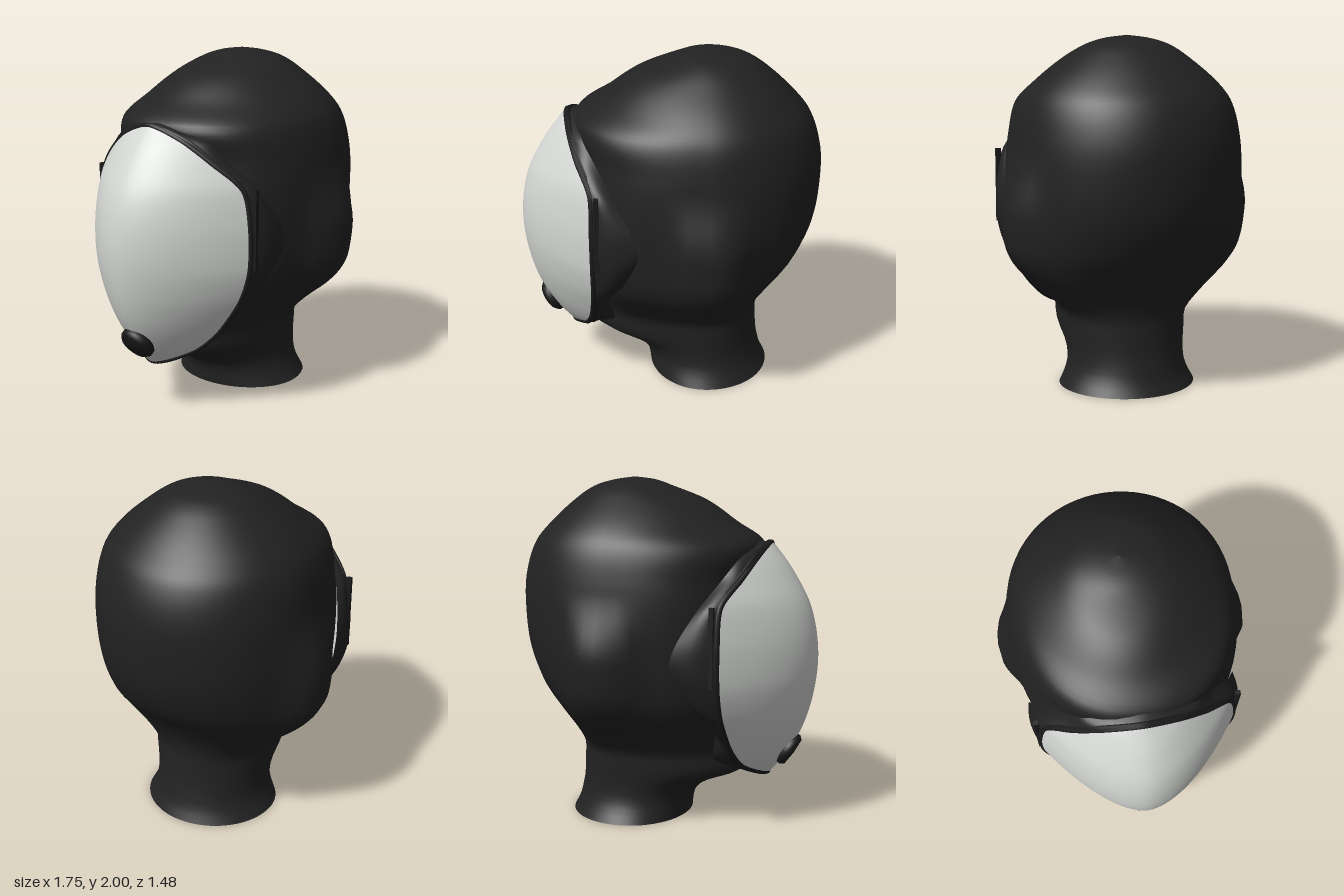
import * as THREE from 'three';
import { mergeVertices } from 'three/addons/utils/BufferGeometryUtils.js';

const V = (x, y, z) => new THREE.Vector3(x, y, z);
const step = (a, b, x) => THREE.MathUtils.smoothstep(x, a, b);

// Smooth surface through rows of points
function loft(rows) {
  const n = rows[0].length, index = [];
  for (let i = 0; i < rows.length - 1; i++) {
    for (let j = 0; j < n - 1; j++) {
      const a = i * n + j, b = a + n;
      index.push(a, b, a + 1, b, b + 1, a + 1);
    }
  }
  let g = new THREE.BufferGeometry().setFromPoints(rows.flat());
  g.setIndex(index);
  g = mergeVertices(g, 1e-4);
  g.computeVertexNormals();
  return g;
}

// Smooth lookup of one column in a table sorted by its first column
function lookup(table, y, c) {
  let i = 0;
  while (i < table.length - 2 && y > table[i + 1][0]) i++;
  const slope = k => {
    const a = table[Math.max(k - 1, 0)], b = table[Math.min(k + 1, table.length - 1)];
    return (b[c] - a[c]) / (b[0] - a[0]);
  };
  const p = table[i], q = table[i + 1], h = q[0] - p[0], t = (y - p[0]) / h;
  const t2 = t * t, t3 = t2 * t;
  return (2 * t3 - 3 * t2 + 1) * p[c] + (t3 - 2 * t2 + t) * h * slope(i)
    + (3 * t2 - 2 * t3) * q[c] + (t3 - t2) * h * slope(i + 1);
}

// Hood sections: height, face x, back x, half width, roundness of the face side
const HEAD = [
  [0, -0.12, 0.60, 0.40, 2], [0.07, -0.13, 0.565, 0.36, 2], [0.13, -0.15, 0.55, 0.34, 2],
  [0.2, -0.22, 0.535, 0.335, 2], [0.25, -0.33, 0.53, 0.337, 2], [0.29, -0.45, 0.527, 0.34, 2],
  [0.35, -0.49, 0.525, 0.345, 2], [0.43, -0.5, 0.525, 0.355, 2], [0.54, -0.5, 0.56, 0.46, 2.1],
  [0.67, -0.5, 0.64, 0.575, 2.3], [0.81, -0.5, 0.75, 0.625, 2.5], [1.02, -0.5, 0.84, 0.65, 2.5],
  [1.26, -0.5, 0.87, 0.655, 2.5], [1.45, -0.5, 0.86, 0.64, 2.4], [1.63, -0.54, 0.8, 0.595, 2.2],
  [1.74, -0.39, 0.71, 0.515, 2], [1.87, -0.2, 0.57, 0.36, 2], [1.95, 0.01, 0.45, 0.235, 2],
  [1.985, 0.11, 0.33, 0.12, 2], [2, 0.22, 0.22, 0, 2],
];
const MID = 0.22;

function headHalfWidth(x, y) {
  const front = x < MID;
  const u = Math.min(1, Math.abs((x - MID) / (lookup(HEAD, y, front ? 1 : 2) - MID)));
  const n = front ? lookup(HEAD, y, 4) : 2;
  return lookup(HEAD, y, 3) * Math.pow(1 - Math.pow(u, n), 1 / n);
}

function hoodGeometry() {
  const rows = [], N = 64;
  for (let i = 0; i <= 80; i++) {
    const y = 2 * Math.sin(i / 80 * Math.PI / 2);
    const row = [];
    for (let j = 0; j <= N; j++) {
      const a = (j % N) / N * Math.PI * 2, c = Math.cos(a), s = Math.sin(a);
      const n = c < 0 ? lookup(HEAD, y, 4) : 2;
      const reach = Math.abs(lookup(HEAD, y, c < 0 ? 1 : 2) - MID);
      const x = MID + Math.sign(c) * reach * Math.pow(Math.abs(c), 2 / n);
      let z = lookup(HEAD, y, 3) * Math.pow(Math.abs(s), 2 / n);
      // Ear bulges under the hood
      z += 0.09 * step(-0.05, 0.16, x) * (1 - step(0.32, 0.52, x))
        * step(0.5, 0.85, y) * (1 - step(1.0, 1.4, y)) * s * s;
      row.push(V(x, y, Math.sign(s) * z));
    }
    rows.push(row.reverse());
  }
  return loft(rows);
}

// Closed loop from a half outline running from top centre to bottom centre
function mirroredLoop(half) {
  const other = half.slice(1, -1).reverse().map(p => V(p.x, p.y, -p.z));
  return new THREE.CatmullRomCurve3([...half, ...other], true, 'catmullrom', 0.4);
}
const RIM = mirroredLoop([
  V(-0.605, 1.635, 0), V(-0.575, 1.57, 0.2), V(-0.52, 1.46, 0.36), V(-0.44, 1.32, 0.51),
  V(-0.435, 1.1, 0.555), V(-0.435, 0.88, 0.55), V(-0.44, 0.7, 0.49), V(-0.465, 0.5, 0.36),
  V(-0.51, 0.37, 0.22), V(-0.61, 0.285, 0),
]);
const SEAL = mirroredLoop([
  [-0.53, 1.645], [-0.48, 1.57], [-0.40, 1.45], [-0.3, 1.3], [-0.2, 1.12],
  [-0.17, 0.98], [-0.26, 0.77], [-0.35, 0.58], [-0.33, 0.4], [-0.45, 0.285],
].map(([x, y], i) => V(x, y, i % 9 ? headHalfWidth(x, y) + 0.012 : 0)));

// Visor centre line: height, x
const VISOR = [[0.285, -0.61], [0.4, -0.70], [0.58, -0.8], [0.8, -0.86], [1.03, -0.875],
  [1.27, -0.83], [1.48, -0.72], [1.635, -0.605]];

function visorGeometry() {
  const rows = [];
  for (let i = 0; i <= 60; i++) {
    const p = RIM.getPoint(i / 120), front = lookup(VISOR, p.y, 1), row = [];
    for (let j = 0; j <= 40; j++) {
      const t = j / 20 - 1;
      row.push(V(front + (p.x - front) * Math.pow(Math.abs(t), 1.75), p.y, p.z * t));
    }
    rows.push(row);
  }
  return loft(rows);
}

// Flexible skirt between the visor rim and the hood
function sealGeometry() {
  const rows = [];
  for (let k = 0; k <= 8; k++) {
    const row = [];
    for (let i = 0; i <= 144; i++) {
      const t = (i % 144) / 144, p = RIM.getPoint(t).lerp(SEAL.getPoint(t), k / 8);
      p.z *= 1 + 0.05 * Math.sin(k / 8 * Math.PI);
      row.push(p);
    }
    rows.push(row);
  }
  return loft(rows);
}

export function createModel() {
  const group = new THREE.Group();
  const material = (name, color) => {
    const m = new THREE.MeshStandardMaterial({ color, side: THREE.DoubleSide });
    m.name = name;
    return m;
  };
  const fabric = material('blackFabric', 0x222222);
  const rubber = material('blackRubber', 0x1b1b1b);
  const shell = material('paleVisor', 0xd2d5d2);
  const add = (name, geometry, mat) => {
    const mesh = new THREE.Mesh(geometry, mat);
    mesh.name = name;
    group.add(mesh);
    return mesh;
  };

  add('hood', hoodGeometry(), fabric);
  add('visor', visorGeometry(), shell);
  add('maskSeal', sealGeometry(), fabric);

  // Two ridges of the visor frame
  add('visorRim', new THREE.TubeGeometry(RIM, 144, 0.017, 8, true), rubber).position.x = 0.015;
  const ridge = new THREE.CatmullRomCurve3(
    Array.from({ length: 72 }, (_, i) => RIM.getPoint(i / 72).lerp(SEAL.getPoint(i / 72), 0.3)), true);
  add('rearRidge', new THREE.TubeGeometry(ridge, 144, 0.014, 8, true), rubber);

  // Side strips on the frame
  for (const s of [1, -1]) {
    add(s > 0 ? 'leftStrip' : 'rightStrip', new THREE.BoxGeometry(0.025, 0.44, 0.03), rubber)
      .position.set(-0.392, 1.11, s * 0.567);
  }

  // Round breathing valve near the chin
  const profile = [[0, -0.035], [0.085, -0.035], [0.103, -0.015], [0.103, 0.01], [0.085, 0.03], [0, 0.036]]
    .map(p => new THREE.Vector2(...p));
  const valve = add('breathingValve', new THREE.LatheGeometry(profile, 32), rubber);
  valve.position.set(-0.72, 0.43, 0);
  valve.quaternion.setFromUnitVectors(V(0, 1, 0), V(-0.83, -0.55, 0).normalize());
  return group;
}
